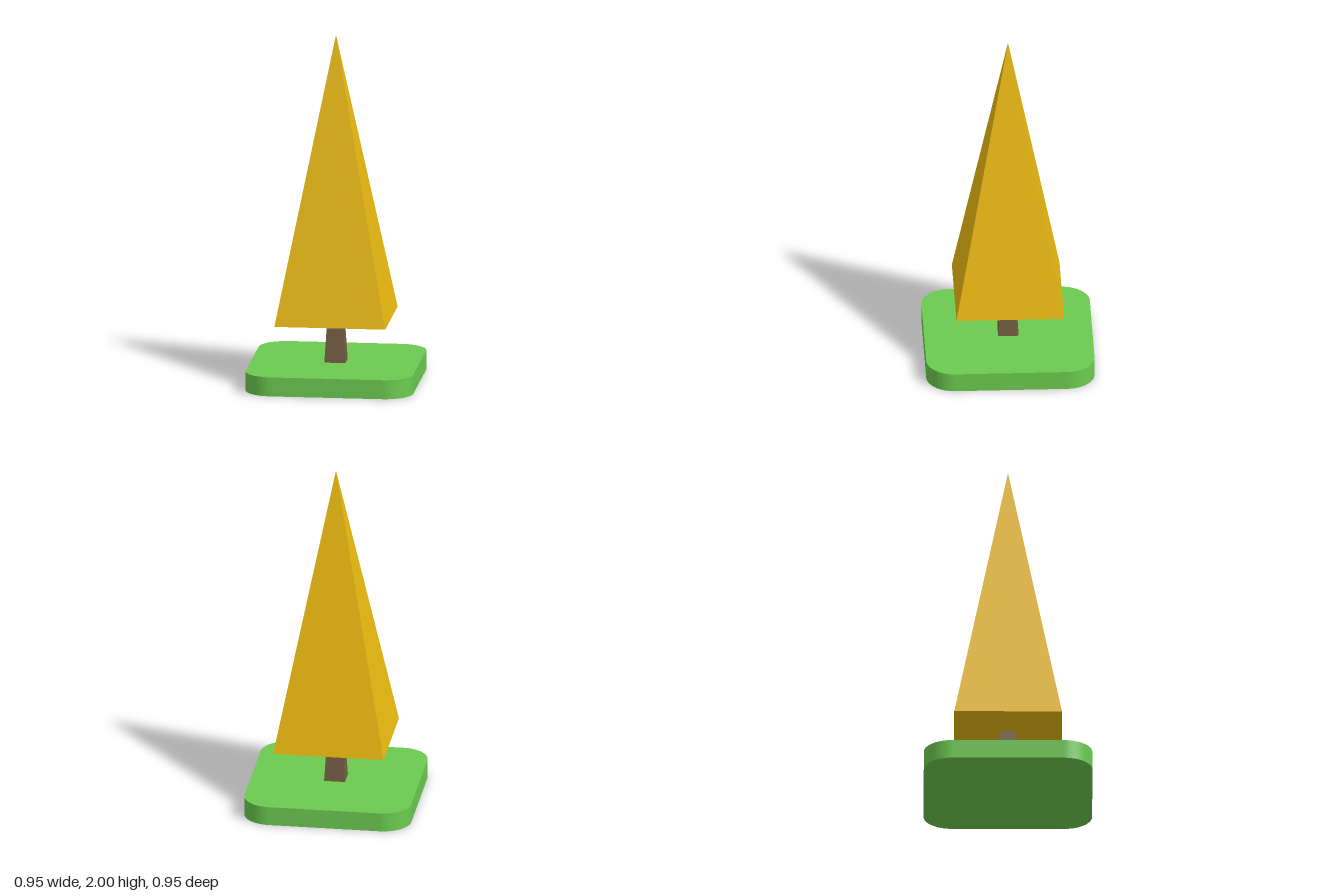
import * as THREE from 'three';

// Square frustum standing on y0, given half widths at bottom and top
function squareFrustum(bottom, top, y0, y1, depthScale) {
  const g = new THREE.CylinderGeometry(top * Math.SQRT2, bottom * Math.SQRT2, y1 - y0, 4);
  g.rotateY(Math.PI / 4);
  g.scale(1, 1, depthScale);
  g.translate(0, (y0 + y1) / 2, 0);
  return g;
}

function roundedSquare(h, r) {
  const s = new THREE.Shape();
  s.absarc(h - r, h - r, r, 0, Math.PI / 2);
  s.absarc(-h + r, h - r, r, Math.PI / 2, Math.PI);
  s.absarc(-h + r, -h + r, r, Math.PI, Math.PI * 1.5);
  s.absarc(h - r, -h + r, r, Math.PI * 1.5, Math.PI * 2);
  s.closePath();
  return s;
}

export function createModel() {
  const group = new THREE.Group();
  const add = (name, geometry, color, flatShading) => {
    const mesh = new THREE.Mesh(geometry, new THREE.MeshStandardMaterial({ color, flatShading }));
    mesh.name = name;
    group.add(mesh);
  };

  // Grass slab with rounded corners
  const slab = new THREE.ExtrudeGeometry(roundedSquare(0.477, 0.16), {
    depth: 0.11, bevelEnabled: false, curveSegments: 12,
  });
  slab.rotateX(-Math.PI / 2);
  add('grassBase', slab, 0x6ccb50, false);

  // Tapered square trunk
  add('trunk', squareFrustum(0.06, 0.044, 0.11, 0.37, 0.97), 0x775f42, true);

  // Four-sided pyramid of foliage
  add('foliage', squareFrustum(0.316, 0, 0.365, 2, 0.965), 0xeaba10, true);

  return group;
}
